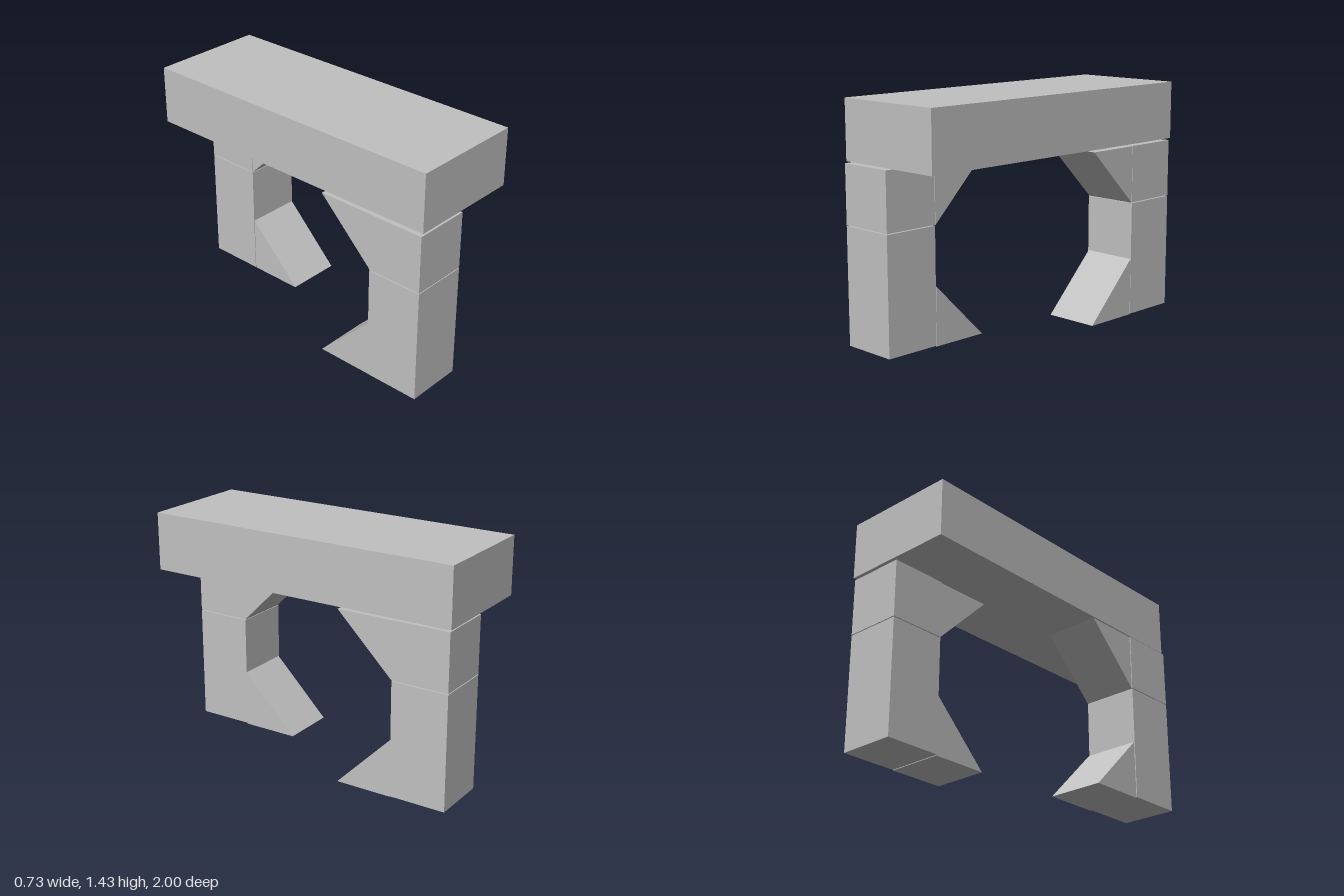
import * as THREE from 'three';

const grey = new THREE.MeshStandardMaterial({ color: 0xc0c0c0 });
grey.name = 'grey stone';

// Box given by its min and max on each axis
function block(name, [x0, x1], [y0, y1], [z0, z1]) {
  const mesh = new THREE.Mesh(new THREE.BoxGeometry(x1 - x0, y1 - y0, z1 - z0), grey);
  mesh.name = name;
  mesh.position.set((x0 + x1) / 2, (y0 + y1) / 2, (z0 + z1) / 2);
  return mesh;
}

// Triangular prism from three [z, y] corners, spanning x0..x1
function wedge(name, [x0, x1], corners) {
  const shape = new THREE.Shape(corners.map(([z, y]) => new THREE.Vector2(-z, y)));
  const geometry = new THREE.ExtrudeGeometry(shape, { depth: x1 - x0, bevelEnabled: false });
  geometry.rotateY(Math.PI / 2); // shape x becomes -z, depth becomes x
  geometry.translate(x0, 0, 0);
  const mesh = new THREE.Mesh(geometry, grey);
  mesh.name = name;
  return mesh;
}

// Pillar of two stacked blocks with a brace wedge at the foot and the head
function pillar(name, x, wedgeX, outer, inner, tip) {
  const group = new THREE.Group();
  group.name = name;
  const z = [Math.min(outer, inner), Math.max(outer, inner)];
  group.add(
    block('column', x, [0.004, 0.71], z),
    block('capital', x, [0.715, 1.067], z),
    wedge('footBrace', wedgeX, [[inner, 0], [tip, 0], [inner, 0.357]]),
    wedge('headBrace', wedgeX, [[inner, 0.713], [tip, 1.065], [inner, 1.065]]),
  );
  return group;
}

export function createModel() {
  const model = new THREE.Group();
  model.name = 'blockArch';
  model.add(
    block('lintel', [-0.355, 0.363], [1.08, 1.435], [-1, 1]),
    pillar('frontPillar', [-0.368, -0.014], [-0.363, -0.011], 1, 0.65, 0.293),
    pillar('backPillar', [0.006, 0.358], [0.01, 0.356], -0.992, -0.638, -0.283),
  );
  return model;
}
